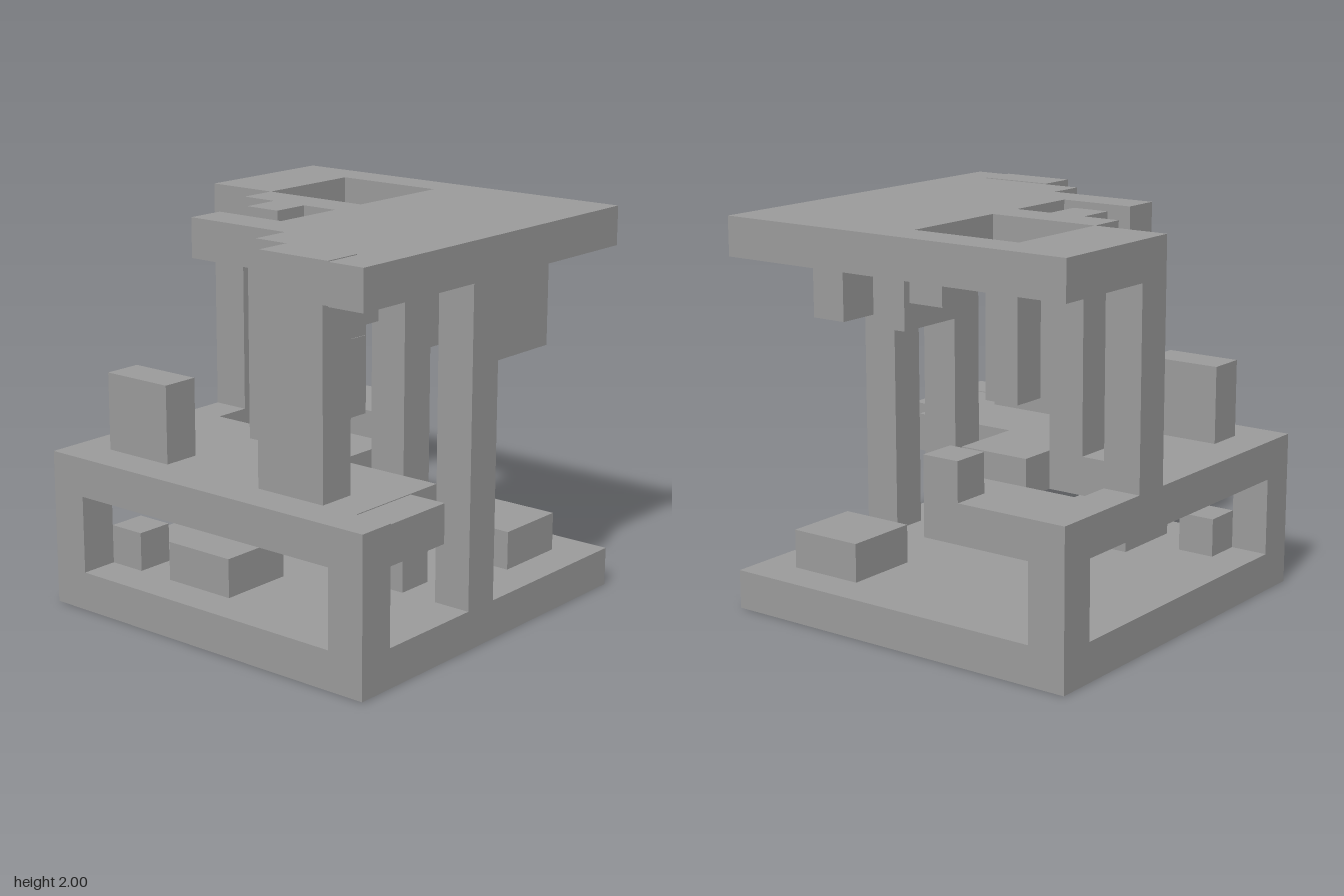
import * as THREE from 'three';

const U = 0.2; // grid unit; grid cells run 0..10 on every axis

export function createModel() {
  const group = new THREE.Group();
  const mat = new THREE.MeshStandardMaterial({ color: 0x9b9b9b, flatShading: true });

  const add = (name, geo) => {
    const mesh = new THREE.Mesh(geo, mat);
    mesh.name = name;
    group.add(mesh);
    return mesh;
  };

  // Box spanning grid corners [x, y, z] a to b, optionally nudged a hair
  const box = (name, a, b, nudge = [0, 0, 0]) => {
    const size = a.map((v, n) => (b[n] - v) * U);
    const mid = a.map((v, n) => ((v + b[n]) / 2) * U + nudge[n]);
    add(name, new THREE.BoxGeometry(...size)).position.set(mid[0] - 1, mid[1], mid[2] - 1);
  };

  // One-unit-thick slab from an [x, z] outline, with its top at grid height y
  const slab = (name, outline, y) => {
    const shape = new THREE.Shape(outline.map(([x, z]) => new THREE.Vector2(x * U - 1, z * U - 1)));
    const geo = new THREE.ExtrudeGeometry(shape, { depth: U, bevelEnabled: false });
    add(name, geo.rotateX(Math.PI / 2)).position.y = y * U;
  };

  // Horizontal levels
  box('floor', [0, 0, 0], [10, 1, 10]);
  slab('middleDeck', [
    [0, 0], [4, 0], [4, 2], [1, 2], [1, 5], [4, 5], [4, 4], [6, 4],
    [6, 6], [9, 6], [9, 9], [10, 9], [10, 10], [0, 10],
  ], 4);
  slab('roof', [
    [0, 0], [10, 0], [10, 10], [9, 10], [9, 9], [6, 9], [6, 8], [3, 8], [3, 7],
    [5, 7], [5, 5], [4, 5], [4, 6], [3, 6], [3, 5], [2, 5],
    [2, 4], [5, 4], [5, 1], [2, 1], [2, 4], [0, 4],
  ], 10);

  // Panels that complete the levels with a slight step
  box('roofPanel', [7, 9, 9], [9, 10, 10], [0, 0.004, 0]);
  box('deckPanel', [9, 3, 7], [10, 4, 9], [0, -0.004, 0]);

  // Corner posts of the lower storey
  for (const [x, z] of [[0, 0], [0, 9], [9, 9]]) box('cornerPost', [x, 1, z], [x + 1, 3, z + 1]);

  // Tall pillars, each with a bracket reaching back under the roof
  for (const x of [7, 9]) {
    box('tallPillar', [x, 1, 5], [x + 1, 9, 6]);
    box('roofBracket', [x, 7, 3], [x + 1, 9, 5]);
  }

  // Upper pillars
  box('leftPillar', [0, 4, 3], [1, 9, 4]);
  box('innerPillar', [3, 4, 5], [4, 9, 6]);
  box('frontPillar', [6, 4, 8], [8, 9, 9]);

  // Blocks hanging from the roof
  box('hangingPost', [5, 7, 5], [6, 9, 6]);
  box('hangingPostEnd', [5, 5, 5], [6, 7, 6], [0.004, 0, 0.004]);
  box('hangingBlock', [5, 8, 2], [6, 9, 3]);
  box('pillarBracket', [7, 8, 7], [8, 9, 8]);

  // Loose blocks on the floor and the deck
  box('floorBlock', [1, 1, 8], [2, 2, 9]);
  box('floorBlock', [3, 1, 7], [5, 2, 9]);
  box('floorBlock', [7, 1, 1], [9, 2, 3]);
  box('deckBlock', [1, 4, 8], [3, 6, 9]);
  box('deckBlock', [3, 4, 0], [4, 5, 1]);

  return group;
}
